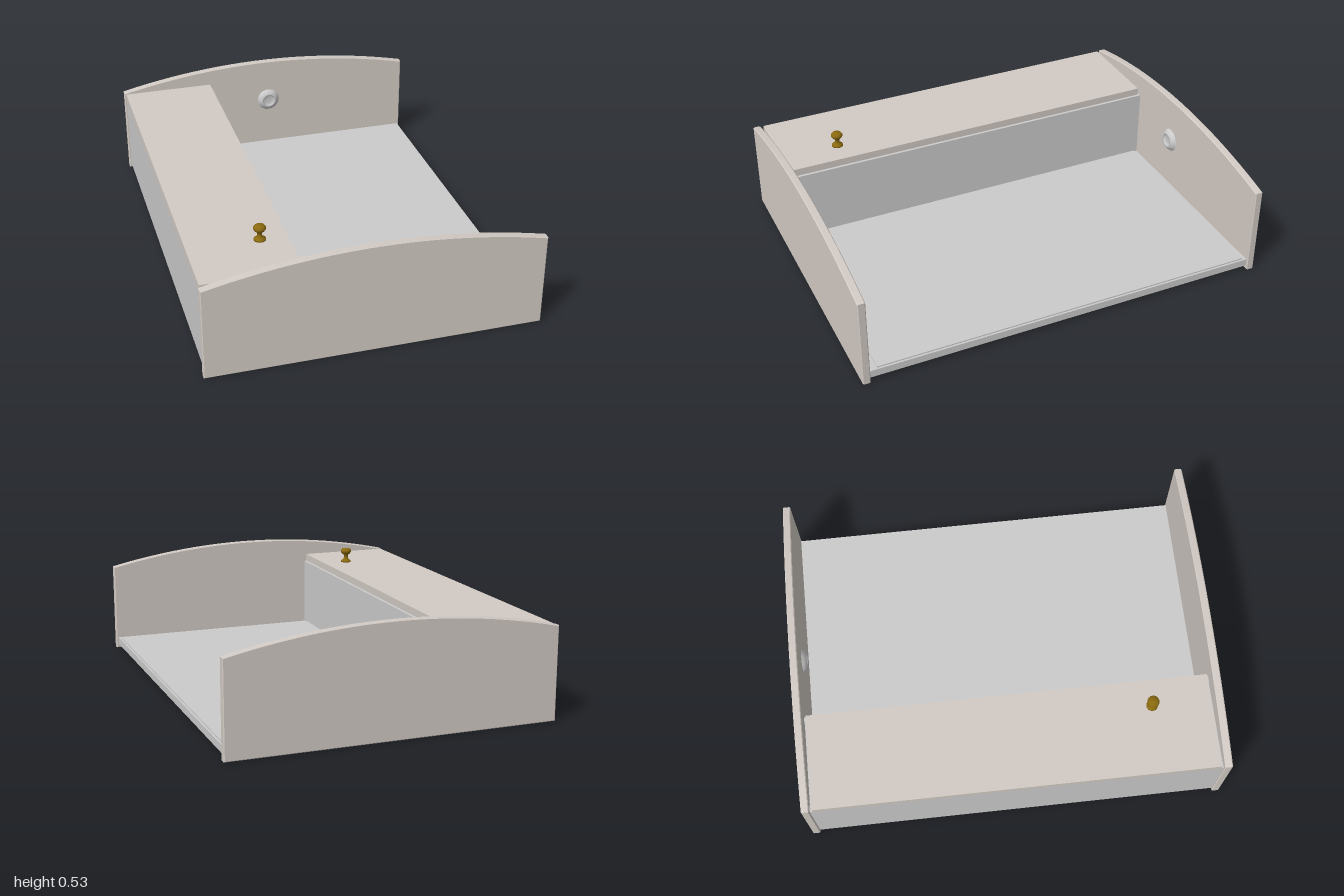
import * as THREE from 'three';

const mat = (color) => new THREE.MeshStandardMaterial({ color });

export function createModel() {
  const model = new THREE.Group();
  const beige = mat(0xd2cac4);
  const grey = mat(0xcccccc);
  const brass = mat(0x8a6a10);

  const add = (name, geometry, material, x = 0, y = 0, z = 0) => {
    const mesh = new THREE.Mesh(geometry, material);
    mesh.name = name;
    mesh.position.set(x, y, z);
    model.add(mesh);
    return mesh;
  };
  // Box given by its lower and upper limits on each axis
  const slab = (name, material, [x0, x1], [y0, y1], [z0, z1]) =>
    add(name, new THREE.BoxGeometry(x1 - x0, y1 - y0, z1 - z0), material,
      (x0 + x1) / 2, (y0 + y1) / 2, (z0 + z1) / 2);
  const lathe = (points, segments) =>
    new THREE.LatheGeometry(points.map(([r, y]) => new THREE.Vector2(r, y)), segments);

  // Arched end panels with slightly eased edges
  const b = 0.004, w = 0.775 - b, side = 0.443 - b, top = 0.532 - b;
  const arch = new THREE.Shape();
  arch.moveTo(-w, b);
  arch.lineTo(w, b);
  arch.lineTo(w, side);
  arch.quadraticCurveTo(0, 2 * top - side, -w, side);
  arch.closePath();
  const panel = new THREE.ExtrudeGeometry(arch, {
    depth: 0.037 - 2 * b, bevelThickness: b, bevelSize: b, bevelSegments: 1, curveSegments: 24,
  });
  add('frontPanel', panel, beige, 0, 0, 0.963 + b);
  add('backPanel', panel, beige, 0, 0, -1 + b);

  // Base board and the thin tray floor on it
  slab('baseBoard', grey, [-0.765, 0.765], [0.02, 0.056], [-0.964, 0.964]);
  slab('trayFloor', grey, [-0.31, 0.755], [0.054, 0.062], [-0.945, 0.925]);

  // Long side compartment: two walls and an overlapping lid
  slab('outerWall', grey, [-0.765, -0.735], [0.055, 0.402], [-0.964, 0.964]);
  slab('innerWall', grey, [-0.34, -0.308], [0.055, 0.402], [-0.964, 0.964]);
  slab('compartmentLid', beige, [-0.768, -0.314], [0.407, 0.443], [-0.95, 0.95]);
  slab('lidSeat', grey, [-0.75, -0.33], [0.398, 0.408], [-0.96, 0.96]);

  // Turned knob on the lid
  add('lidKnob', lathe([
    [0, 0], [0.027, 0], [0.027, 0.008], [0.016, 0.014], [0.011, 0.024], [0.011, 0.038],
    [0.021, 0.046], [0.028, 0.056], [0.028, 0.064], [0.021, 0.073], [0, 0.077],
  ], 24), brass, -0.44, 0.442, 0.67);

  // Round dished fitting on the inside of the back panel
  const fitting = add('roundFitting', lathe([
    [0, 0.012], [0.026, 0.01], [0.03, 0.02], [0.037, 0.021], [0.05, 0.012], [0.059, 0],
  ].reverse(), 32), grey, 0.01, 0.308, -0.963);
  fitting.rotation.x = Math.PI / 2;

  return model;
}
